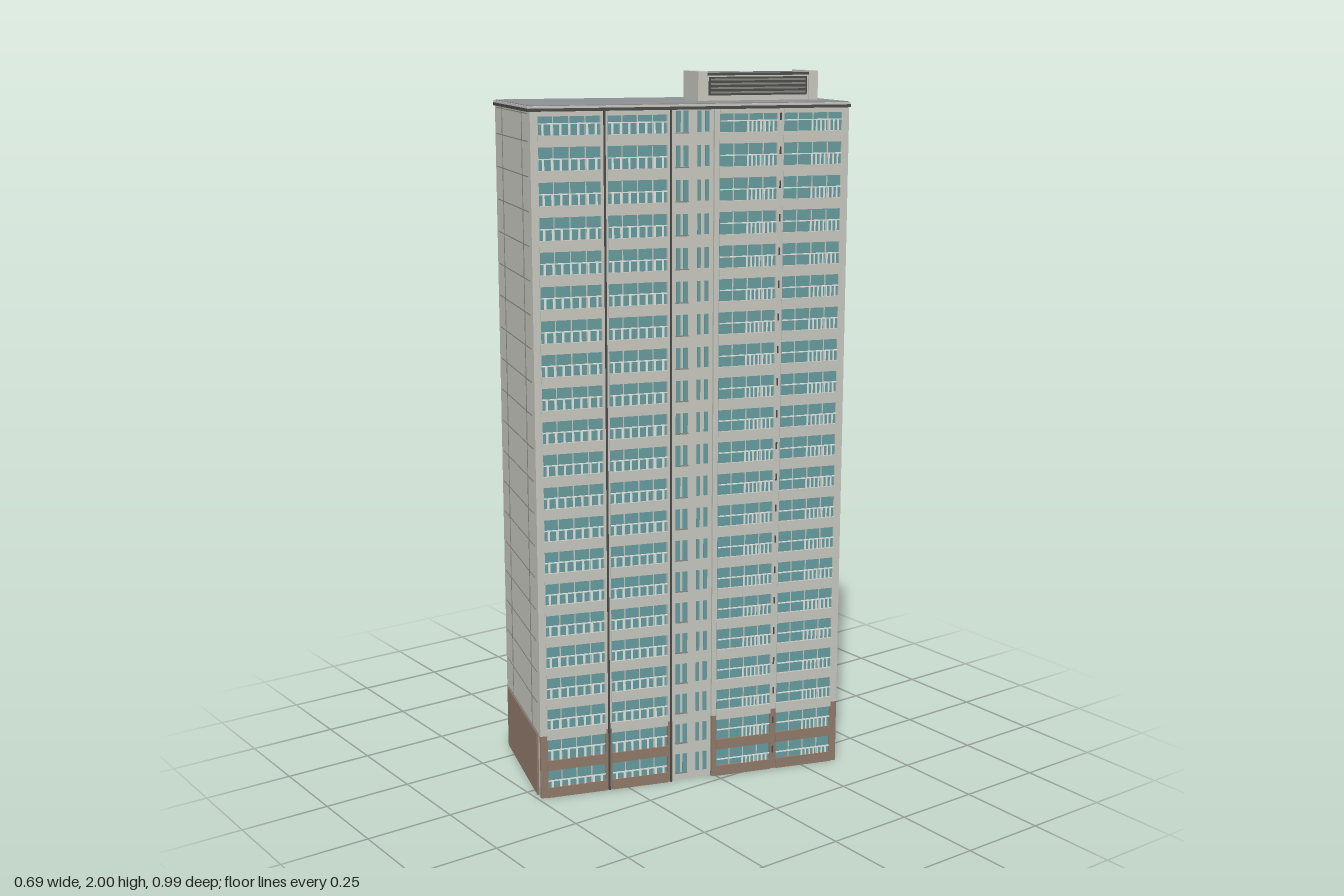
import * as THREE from 'three';
import { mergeGeometries } from 'three/addons/utils/BufferGeometryUtils.js';

const mat = (name, color) => {
  const m = new THREE.MeshStandardMaterial({ color });
  m.name = name;
  return m;
};

const W = 0.408, L = 0.892, H = 1.905;   // tower body
const FLOORS = 21, PITCH = 0.0912, BASE = 0.185;

export function createModel() {
  const M = {
    wall: mat('pale concrete', 0xc6c6be),
    brown: mat('brown cladding', 0x8f7969),
    glass: mat('teal glass', 0x659a9d),
    rail: mat('white railing', 0xdfe3df),
    roof: mat('grey roofing', 0x8d9193),
    dark: mat('dark trim', 0x4a4a48),
    joint: mat('panel joint', 0x858580),
  };

  // Collects boxes by part name, then merges each part into one mesh
  function assembly(name) {
    const group = new THREE.Group(), parts = {};
    group.name = name;
    const box = (part, material, w, h, d, x, y, z) => {
      const g = new THREE.BoxGeometry(w, h, d).translate(x, y, z);
      (parts[part] ??= { material, list: [] }).list.push(g);
    };
    const finish = () => {
      for (const [part, { material, list }] of Object.entries(parts)) {
        const mesh = new THREE.Mesh(mergeGeometries(list), material);
        mesh.name = part;
        group.add(mesh);
      }
      return group;
    };
    return { box, finish };
  }

  // Tower body, cornice and roof
  function tower() {
    const { box, finish } = assembly('tower');
    box('body', M.wall, W, H, L, 0, H / 2, 0);
    box('corniceShadow', M.dark, W + 0.016, 0.008, L + 0.012, 0, 1.909, 0);
    box('cornice', M.wall, W + 0.012, 0.006, L + 0.008, 0, 1.916, 0);
    box('roof', M.roof, W + 0.004, 0.004, L, 0, 1.919, 0);
    return finish();
  }

  // Long facade facing +x: four balcony bays around a stair core
  function facade(name, back) {
    const { box, finish } = assembly(name);
    const X = W / 2;
    const bays = [[0.075, 0.237], [0.258, 0.425]];

    for (const s of [1, -1]) {
      // Brown base cladding and the full-height piers
      box('baseCladding', M.brown, 0.003, BASE, 0.378, X + 0.0015, BASE / 2, s * 0.257);
      const piers = [[0.066, 0.014], [0.2475, 0.019], [0.4355, 0.021]];
      for (const [z, w] of piers) {
        box('basePier', M.brown, 0.009, BASE, w, X + 0.0045, BASE / 2, s * z);
        box('pier', M.wall, 0.009, H - BASE, w, X + 0.0045, (H + BASE) / 2, s * z);
      }
      // Dark downpipes beside the piers
      if (s > 0) {
        box('downpipe', M.dark, 0.004, H, 0.005, X + 0.011, H / 2, 0.247);
        box('downpipe', M.dark, 0.004, H, 0.004, X + 0.011, H / 2, 0.064);
      }

      for (let f = 0; f < FLOORS; f++) {
        const y = f * PITCH;
        for (const [a, b] of bays) {
          const w = b - a, c = s * (a + b) / 2;
          box('balconyGlass', M.glass, 0.004, 0.066, w, X + 0.003, y + 0.05, c);
          // Floor band below each window strip
          const low = y < BASE - 0.02;
          box(low ? 'baseBand' : 'floorBand', low ? M.brown : M.wall,
            0.012, 0.03, w + 0.004, X + 0.006, y + 0.005 + (f ? 0 : 0.01), c);
          // Window mullions
          for (const t of [-0.26, 0, 0.26])
            box('mullion', t ? M.wall : M.dark, 0.003, 0.06, 0.003, X + 0.0055, y + 0.05, c + t * w);
          // Railing: handrail with posts, close pickets on the plainer half
          box('handrail', M.rail, 0.003, 0.003, w, X + 0.0105, y + 0.05, c);
          const n = 7;
          for (let i = 0; i < n; i++) {
            const t = s > 0 ? (i + 0.5) / n - 0.5 : 0.02 - i * 0.075;
            box('picket', M.rail, 0.002, 0.03, s > 0 ? 0.006 : 0.0045, X + 0.0105, y + 0.035, c + t * w);
          }
        }
        // Shadow gap tick on the pier between the plainer bays
        if (s < 0) box('pierVent', M.dark, 0.002, 0.02, 0.004, X + 0.0095, y + 0.06, -0.247);
      }
      // Closing band over the top floor
      for (const [a, b] of bays)
        box('floorBand', M.wall, 0.012, 0.012, b - a + 0.004, X + 0.006, H - 0.006, s * (a + b) / 2);
    }

    // Stair core windows
    for (let f = 0; f < FLOORS; f++) {
      const y = f * PITCH + 0.05;
      if (back) {
        box('coreWindow', M.glass, 0.004, 0.06, 0.018, X + 0.002, y, 0.045);
        box('stairOpening', M.dark, 0.004, 0.066, 0.036, X + 0.002, y, -0.022);
        box('stairWindow', M.glass, 0.006, 0.03, 0.014, X + 0.002, y, -0.022);
      } else {
        for (const [z, w] of [[0.041, 0.012], [0.02, 0.013], [-0.018, 0.009], [-0.04, 0.011]])
          box('coreWindow', M.glass, 0.004, 0.056, w, X + 0.002, y, z);
        box('coreSill', M.joint, 0.005, 0.003, 0.036, X + 0.0025, y - 0.03, 0.03);
      }
    }
    return finish();
  }

  // Blank end wall facing +z with panel joints
  function endWall(name, ribs) {
    const { box, finish } = assembly(name);
    const Z = L / 2, w = 0.376;
    box('baseCladding', M.brown, w, BASE, 0.005, 0, BASE / 2, Z + 0.0025);
    for (let f = 2; f <= FLOORS; f++)
      box('floorJoint', M.joint, w, 0.0025, 0.002, 0, Math.min(f * PITCH + 0.004, 1.9), Z + 0.001);
    for (const x of [-0.12, 0.12])
      box('panelJoint', M.joint, 0.0015, H - BASE, 0.002, x, (H + BASE) / 2, Z + 0.001);
    // Shallow overlapping panel edges
    if (ribs) for (const x of [-0.17, -0.085, 0, 0.085, 0.17]) {
      box('panelRib', M.wall, 0.006, H - BASE, 0.006, x, (H + BASE) / 2, Z + 0.003);
      box('panelRibShadow', M.dark, 0.002, H - BASE, 0.005, x + 0.004, (H + BASE) / 2, Z + 0.0025);
    }
    return finish();
  }

  // Rooftop plant room with louvred sides between two end blocks
  function plantRoom() {
    const { box, finish } = assembly('plantRoom');
    const y0 = 1.919, len = 0.352, cap = 0.027;
    for (const s of [1, -1])
      box('endBlock', M.wall, 0.13, 2 - y0, cap, 0, (2 + y0) / 2, s * (len - cap) / 2);
    const mid = len - 2 * cap;
    box('plantBody', M.wall, 0.12, 0.07, mid, 0, y0 + 0.035, 0);
    box('plantRoof', M.roof, 0.124, 0.006, mid, 0, 1.992, 0);
    for (const s of [1, -1]) {
      box('roofEdge', M.dark, 0.003, 0.007, mid, s * 0.0635, 1.9925, 0);
      box('louvrePanel', M.dark, 0.004, 0.05, mid - 0.01, s * 0.061, 1.96, 0);
      for (let i = 0; i < 4; i++)
        box('louvreBlade', M.joint, 0.004, 0.005, mid - 0.02, s * 0.0635, 1.943 + i * 0.0115, 0);
    }
    const group = finish();
    group.position.set(-0.002, 0, -0.238);
    return group;
  }

  const building = new THREE.Group();
  building.name = 'apartmentTower';
  const rear = facade('rearFacade', true);
  rear.rotation.y = Math.PI;
  const backEnd = endWall('backEndWall', true);
  backEnd.rotation.y = Math.PI;
  building.add(tower(), facade('mainFacade', false), rear, endWall('frontEndWall', false), backEnd, plantRoom());
  building.rotation.y = -0.325;

  const model = new THREE.Group();
  model.name = 'highRise';
  model.add(building);
  return model;
}
